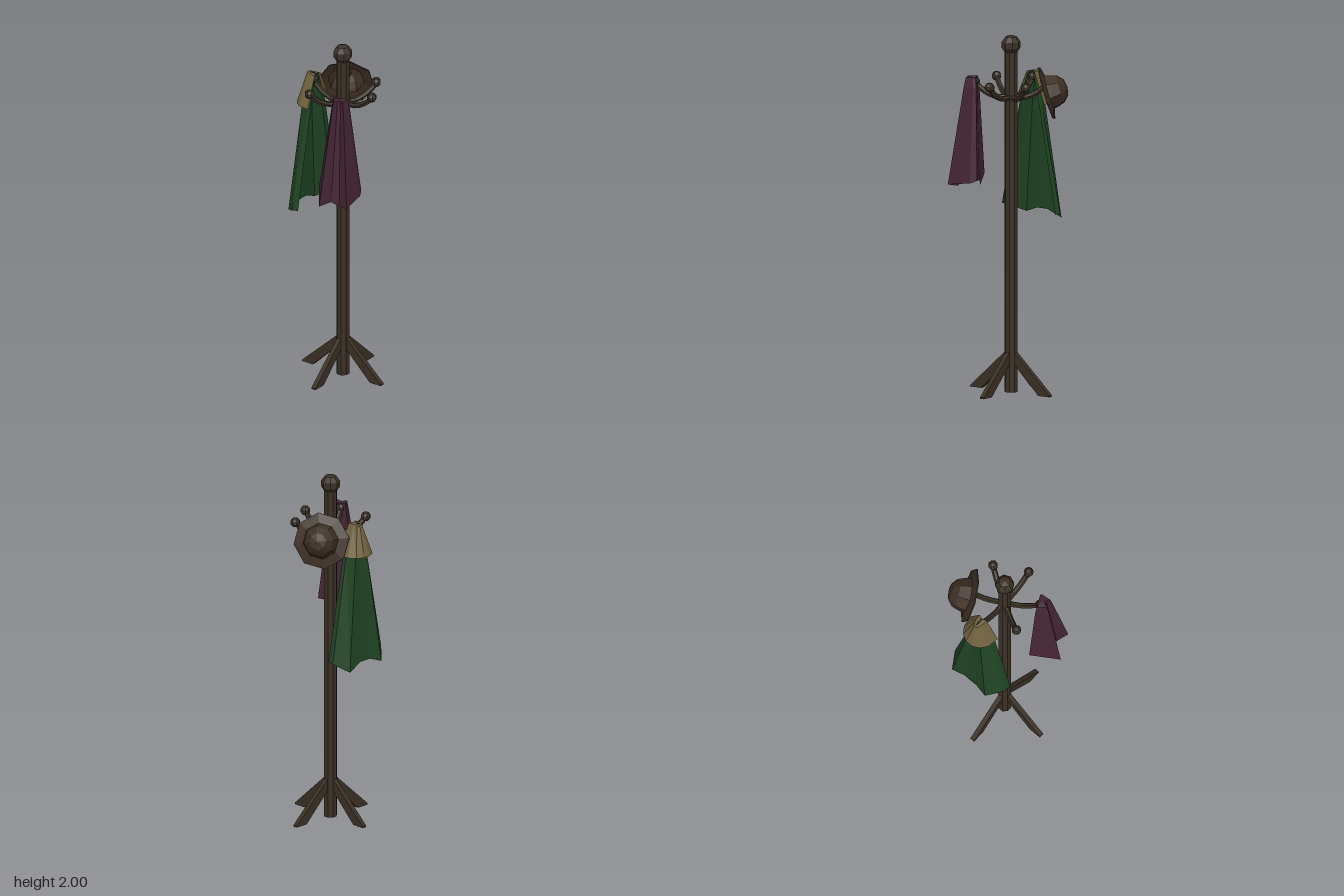
import * as THREE from 'three';

const mat = (name, color, side = THREE.FrontSide) =>
  new THREE.MeshStandardMaterial({ name, color, side, flatShading: true });

const CX = 0.03, CZ = 0.013; // pole axis

function add(parent, name, geometry, material) {
  const m = new THREE.Mesh(geometry, material);
  m.name = name;
  parent.add(m);
  return m;
}

// Skin between rows of [x, y, z] points; closed rows wrap round
function loft(rows, closed) {
  const n = rows[0].length, pos = [], idx = [];
  rows.forEach(r => r.forEach(p => pos.push(...p)));
  for (let r = 0; r < rows.length - 1; r++) {
    for (let i = 0; i < (closed ? n : n - 1); i++) {
      const a = r * n + i, b = r * n + (i + 1) % n;
      idx.push(a, a + n, b, b, a + n, b + n);
    }
  }
  const g = new THREE.BufferGeometry();
  g.setAttribute('position', new THREE.Float32BufferAttribute(pos, 3));
  g.setIndex(idx);
  g.computeVertexNormals();
  return g;
}

export function createModel() {
  const root = new THREE.Group();
  root.name = 'coatRack';
  const wood = mat('darkWood', 0x3b3125);
  const felt = mat('hatFelt', 0x3d2f24, THREE.DoubleSide);
  const green = mat('greenCloth', 0x204424, THREE.DoubleSide);
  const tan = mat('tanCloth', 0x71633f, THREE.DoubleSide);
  const plum = mat('plumCloth', 0x442534, THREE.DoubleSide);

  // Pole and finial
  const stand = new THREE.Group();
  stand.name = 'stand';
  stand.position.set(CX, 0, CZ);
  root.add(stand);
  const pole = add(stand, 'pole', new THREE.CylinderGeometry(0.037, 0.037, 1.92, 8), wood);
  pole.position.y = 0.96;
  pole.rotation.y = Math.PI / 8;
  add(stand, 'finial', new THREE.SphereGeometry(0.055, 8, 5), wood).position.y = 1.945;

  // Four splayed legs, cut flat at the floor
  const legShape = new THREE.Shape([[0, 0.225], [0.02, 0.235], [0.27, 0.008], [0.27, 0], [0.195, 0], [0, 0.19]]
    .map(p => new THREE.Vector2(...p)));
  const legGeo = new THREE.ExtrudeGeometry(legShape, { depth: 0.027, bevelEnabled: false });
  legGeo.translate(0, 0, -0.0135);
  for (let i = 0; i < 4; i++) add(stand, 'leg', legGeo, wood).rotation.y = i * Math.PI / 2;

  // Six upswept hooks with round tips
  const hookCurve = new THREE.CatmullRomCurve3([[0.01, 1.655], [0.07, 1.65], [0.13, 1.672], [0.17, 1.7], [0.2, 1.735]]
    .map(([x, y]) => new THREE.Vector3(x, y, 0)));
  const hookGeo = new THREE.TubeGeometry(hookCurve, 6, 0.016, 6);
  const tipGeo = new THREE.SphereGeometry(0.028, 8, 5);
  for (let i = 0; i < 6; i++) {
    const hook = new THREE.Group();
    hook.name = 'hook';
    hook.rotation.y = Math.PI / 6 + i * Math.PI / 3;
    stand.add(hook);
    add(hook, 'hookArm', hookGeo, wood);
    add(hook, 'hookTip', tipGeo, wood).position.set(0.2, 1.735, 0);
  }

  // Hat hung on the back left hook, crown outwards
  const hatProfile = [[0.157, -0.014], [0.157, -0.008], [0.1, 0.006], [0.096, 0.03], [0.082, 0.07], [0.048, 0.1], [0, 0.11]]
    .map(p => new THREE.Vector2(...p));
  const hat = add(root, 'hat', new THREE.LatheGeometry(hatProfile, 8), felt);
  const tilt = 0.3;
  hat.quaternion.setFromUnitVectors(new THREE.Vector3(0, 1, 0),
    new THREE.Vector3(0.82 * Math.cos(tilt), Math.sin(tilt), -0.57 * Math.cos(tilt)).normalize());
  hat.position.set(0.205, 1.68, -0.095);

  // Cloak on the back hook, open towards the pole
  const hem = [[-0.157, 1.01, -0.155], [-0.157, 1.0, -0.195], [-0.08, 0.955, -0.278], [0.0, 0.985, -0.268],
    [0.07, 0.985, -0.268], [0.16, 0.945, -0.278], [0.212, 0.985, -0.195], [0.208, 0.985, -0.155]];
  const cloakTop = hem.map(([x, , z]) => [0.03 + (x - 0.027) * 0.11, 1.762, -0.166 + (z + 0.155) * 0.5]);
  const cloakChest = hem.map(([x, , z]) => [0.03 + (x - 0.027) * 0.36, 1.59, -0.157 + (z + 0.155) * 0.65]);
  add(root, 'cloak', loft([cloakTop, cloakChest, hem], false), green);

  // Half-cone collar over the cloak's shoulders
  const arc = (rx, y, zFront, depth) => Array.from({ length: 8 }, (_, i) => {
    const a = Math.PI * i / 7;
    return [0.033 - rx * Math.cos(a), y, zFront - depth * Math.sin(a) ** 0.8];
  });
  add(root, 'cloakCollar', loft([arc(0.004, 1.77, -0.17, 0.05), arc(0.026, 1.768, -0.163, 0.068),
    arc(0.1, 1.592, -0.155, 0.128)], false), tan);

  // Folded cloth gathered on the front right hook
  const clothHem = [[-0.165, 1.2, -0.005], [-0.305, 1.165, 0.1], [-0.235, 1.175, 0.13], [-0.213, 1.15, 0.17],
    [-0.237, 1.165, 0.238], [-0.095, 1.185, 0.225], [-0.06, 1.2, 0.207], [-0.1, 1.19, 0.13], [-0.135, 1.15, 0.075]];
  const gather = (s, y) => clothHem.map(([x, , z]) => [-0.15 + (x + 0.175) * s, y, 0.12 + (z - 0.115) * s]);
  add(root, 'hangingCloth', loft([gather(0, 1.767), gather(0.33, 1.763), gather(0.42, 1.71), clothHem], true), plum);

  return root;
}
